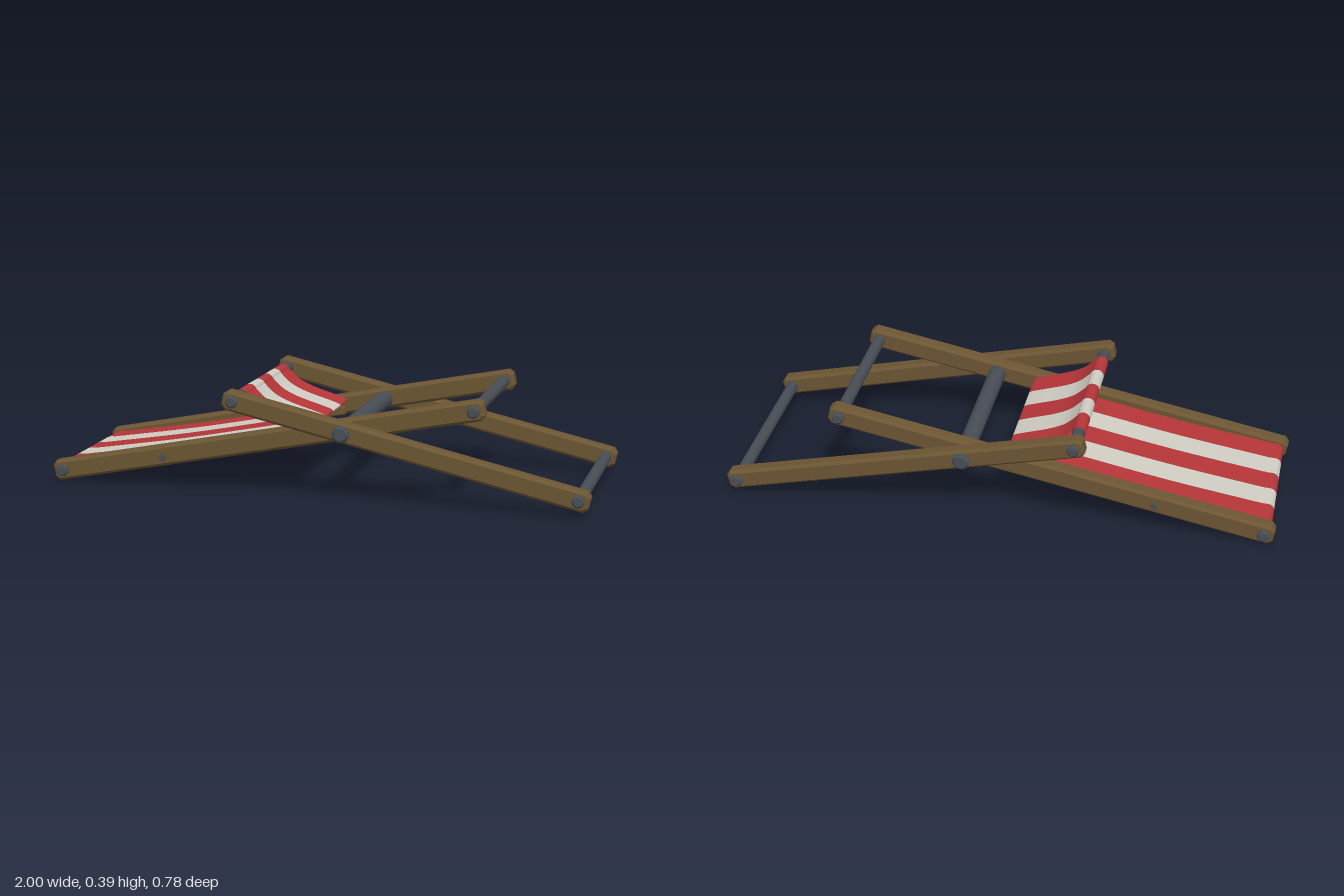
import * as THREE from 'three';

const material = (name, color, side = THREE.FrontSide) => {
  const m = new THREE.MeshStandardMaterial({ color, side });
  m.name = name;
  return m;
};

export function createModel() {
  const model = new THREE.Group();
  model.name = 'foldingDeckChair';
  const wood = material('brown wood', 0x6b5533);
  const metal = material('dark steel', 0x484d55);
  const red = material('red canvas', 0xb53538, THREE.DoubleSide);
  const cream = material('cream canvas', 0xcfccc2, THREE.DoubleSide);

  const add = (name, geometry, mat) => {
    const mesh = new THREE.Mesh(geometry, mat);
    mesh.name = name;
    model.add(mesh);
    return mesh;
  };

  // Mirrored pair of bevelled wooden rails running from a to b
  function railPair(name, a, b, z, width, height, over, bevel) {
    const dx = b[0] - a[0], dy = b[1] - a[1];
    const l = Math.hypot(dx, dy) / 2 + over - bevel, h = height / 2 - bevel, c = bevel;
    const outline = [[-l + c, -h], [l - c, -h], [l, -h + c], [l, h - c],
      [l - c, h], [-l + c, h], [-l, h - c], [-l, -h + c]];
    const shape = new THREE.Shape(outline.map(p => new THREE.Vector2(...p)));
    const depth = width - 2 * bevel;
    const geometry = new THREE.ExtrudeGeometry(shape, {
      depth, bevelEnabled: true, bevelThickness: bevel, bevelSize: bevel, bevelSegments: 1,
    }).translate(0, 0, -depth / 2);
    for (const s of [1, -1]) {
      const rail = add(name, geometry, wood);
      rail.position.set((a[0] + b[0]) / 2, (a[1] + b[1]) / 2, s * z);
      rail.rotation.z = Math.atan2(dy, dx);
    }
  }

  // Cross rod along z with chamfered ends
  function rod(name, [x, y], radius, half) {
    const c = radius * 0.3;
    const profile = [[0, -half], [radius - c, -half], [radius - c, -half], [radius, -half + c],
      [radius, -half + c], [radius, half - c], [radius, half - c], [radius - c, half],
      [radius - c, half], [0, half]].map(p => new THREE.Vector2(...p));
    const mesh = add(name, new THREE.LatheGeometry(profile, 20), metal);
    mesh.rotation.x = Math.PI / 2;
    mesh.position.set(x, y, 0);
  }

  const innerFoot = [-0.96, 0.047], innerTop = [0.575, 0.35];
  const outerTop = [-0.285, 0.35], outerFoot = [0.955, 0.07];
  const propPivot = [-0.57, 0.117], propEnd = [-0.05, 0.207];

  // Crossed frames and the small prop frame
  railPair('innerRail', innerFoot, innerTop, 0.291, 0.056, 0.075, 0.038, 0.01);
  railPair('outerRail', outerTop, outerFoot, 0.347, 0.056, 0.073, 0.038, 0.01);
  railPair('propRail', propPivot, propEnd, 0.249, 0.027, 0.034, 0.017, 0.004);

  // Cross rods, pivot and prop hinge bolts
  rod('innerFootRod', innerFoot, 0.022, 0.335);
  rod('innerTopRod', innerTop, 0.022, 0.335);
  rod('outerTopRod', outerTop, 0.022, 0.388);
  rod('outerFootRod', outerFoot, 0.022, 0.388);
  rod('pivotRod', [0.115, 0.256], 0.032, 0.388);
  rod('propRod', [-0.13, 0.203], 0.01, 0.245);
  for (const s of [1, -1]) {
    const bolt = add('propBolt', new THREE.CylinderGeometry(0.012, 0.012, 0.09, 16), metal);
    bolt.rotation.x = Math.PI / 2;
    bolt.position.set(...propPivot, s * 0.281);
  }

  // Canvas path: around the foot rod, up the frame, folded back and round the top rod
  const arc = ([x, y], r, from, to, n) => Array.from({ length: n + 1 }, (_, i) => {
    const t = from + (to - from) * i / n;
    return new THREE.Vector2(x + r * Math.cos(t), y + r * Math.sin(t));
  });
  const sling = new THREE.SplineCurve([[-0.94, 0.073], [-0.6, 0.129], [-0.3, 0.188], [-0.13, 0.222],
    [-0.05, 0.237], [-0.03, 0.243], [-0.035, 0.253], [-0.08, 0.268], [-0.16, 0.293],
    [-0.22, 0.321], [-0.265, 0.362]].map(p => new THREE.Vector2(...p)));
  const path = [
    ...arc(innerFoot, 0.025, Math.PI * 1.25, Math.PI * 0.5, 10),
    ...sling.getPoints(60),
    ...arc(outerTop, 0.025, Math.PI * 0.2, Math.PI * 2.2, 20),
  ];

  // Five stripes across the canvas
  const stripeWidth = 0.104;
  for (let k = 0; k < 5; k++) {
    const z0 = -0.26 + k * stripeWidth, z1 = z0 + stripeWidth;
    const positions = [], index = [];
    path.forEach((p, i) => {
      positions.push(p.x, p.y, z0, p.x, p.y, z1);
      if (i) {
        const a = 2 * i - 2;
        index.push(a, a + 1, a + 2, a + 1, a + 3, a + 2);
      }
    });
    const geometry = new THREE.BufferGeometry();
    geometry.setAttribute('position', new THREE.Float32BufferAttribute(positions, 3));
    geometry.setIndex(index);
    geometry.computeVertexNormals();
    add('canvasStripe', geometry, k % 2 ? cream : red);
  }
  return model;
}
